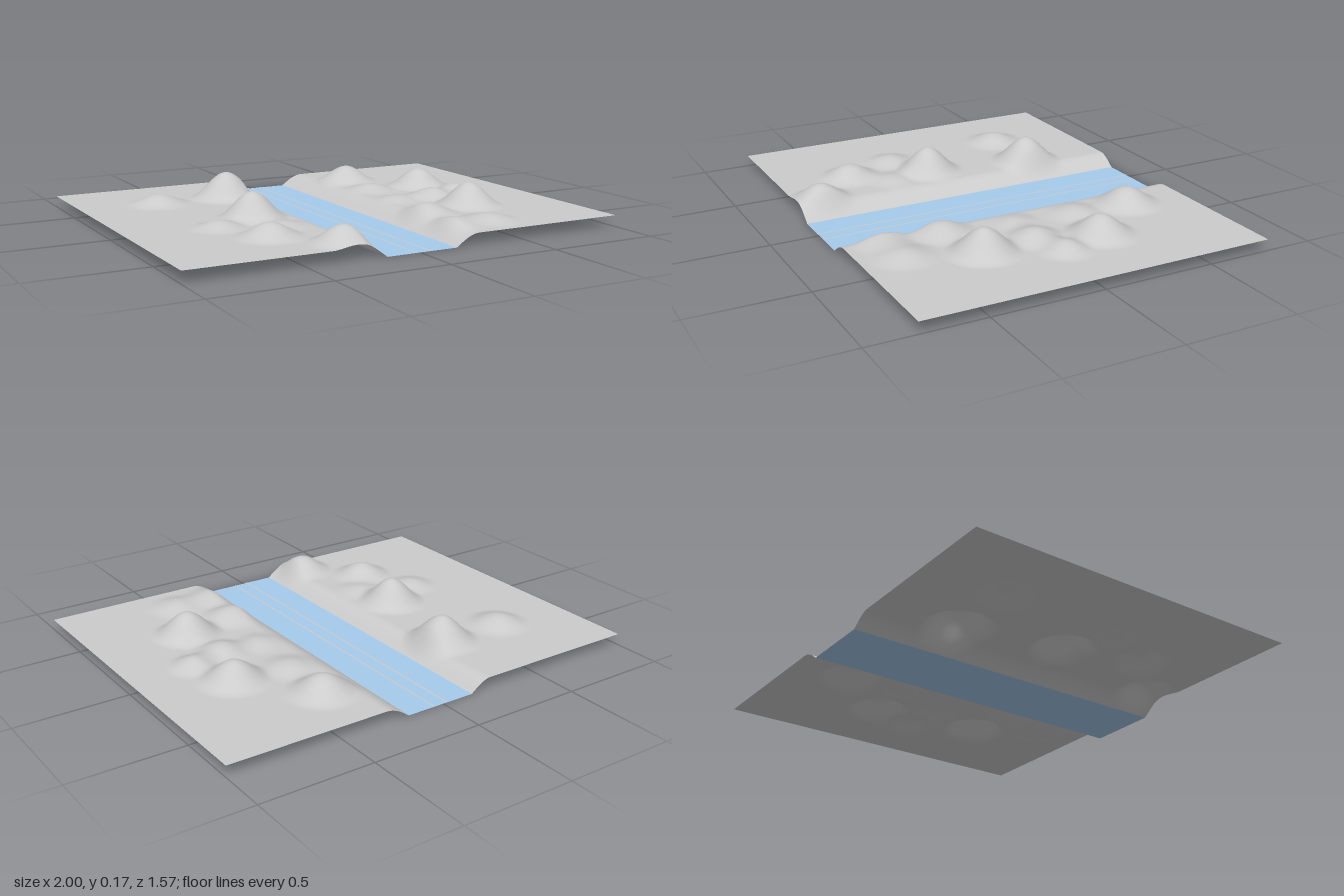
import * as THREE from 'three';

const HALF_X = 1, HALF_Z = 0.785, GROUND = 0.05;
const LEFT_SHORE = 0.175, RIGHT_SHORE = -0.15;

// Hills: x, z, height above the ground, radius
const HILLS = [
  [-0.31, -0.39, 0.118, 0.18], [-0.64, -0.39, 0.043, 0.16],
  [-0.40, 0.09, 0.115, 0.17], [-0.60, 0.20, 0.03, 0.14], [-0.36, 0.29, 0.02, 0.14],
  [-0.49, 0.45, 0.06, 0.16], [-0.28, 0.67, 0.072, 0.16],
  [0.39, -0.50, 0.076, 0.17], [0.38, -0.24, 0.028, 0.15], [0.63, -0.21, 0.088, 0.17],
  [0.70, 0.00, 0.04, 0.13], [0.54, 0.05, 0.042, 0.15], [0.36, 0.04, 0.02, 0.13],
  [0.57, 0.30, 0.105, 0.17], [0.31, 0.36, 0.045, 0.16],
  [0.28, 0.61, 0.032, 0.16], [0.46, 0.60, 0.03, 0.16],
];

function groundHeight(x, z) {
  // rounded river bank falling to the water
  const d = x > 0 ? (x - LEFT_SHORE) / 0.11 : (RIGHT_SHORE - x) / 0.1;
  const bank = Math.sin(THREE.MathUtils.clamp(d, 0, 1) * Math.PI / 2);
  let y = GROUND;
  for (const [hx, hz, h, r] of HILLS) {
    const t = Math.hypot(x - hx, z - hz) / r;
    if (t < 1) y += h * (0.5 + 0.5 * Math.cos(Math.PI * t));
  }
  return y * bank;
}

// Flat sheet between two x values, lying at height y
function sheet(name, x0, x1, y, material, nx = 1, nz = 1) {
  const g = new THREE.PlaneGeometry(x1 - x0, HALF_Z * 2, nx, nz);
  g.rotateX(-Math.PI / 2).translate((x0 + x1) / 2, y, 0);
  const mesh = new THREE.Mesh(g, material);
  mesh.name = name;
  return mesh;
}

export function createModel() {
  const group = new THREE.Group();
  group.name = 'riverValley';
  const grey = new THREE.MeshStandardMaterial({ color: 0xcccccc, side: THREE.DoubleSide });
  const blue = new THREE.MeshStandardMaterial({ color: 0xa4cbec, side: THREE.DoubleSide });

  // Hilly land on both sides of the river
  for (const [name, x0, x1] of [['leftLand', LEFT_SHORE, HALF_X], ['rightLand', -HALF_X, RIGHT_SHORE]]) {
    const land = sheet(name, x0, x1, 0, grey, 90, 140);
    const p = land.geometry.attributes.position;
    for (let i = 0; i < p.count; i++) p.setY(i, groundHeight(p.getX(i), p.getZ(i)));
    land.geometry.computeVertexNormals();
    group.add(land);
  }

  // Water with two narrow streaks of river bed
  group.add(sheet('water', RIGHT_SHORE, LEFT_SHORE, 0, blue));
  for (const x of [-0.018, 0.047]) group.add(sheet('bedStreak', x - 0.004, x + 0.004, 0.002, grey));
  return group;
}
